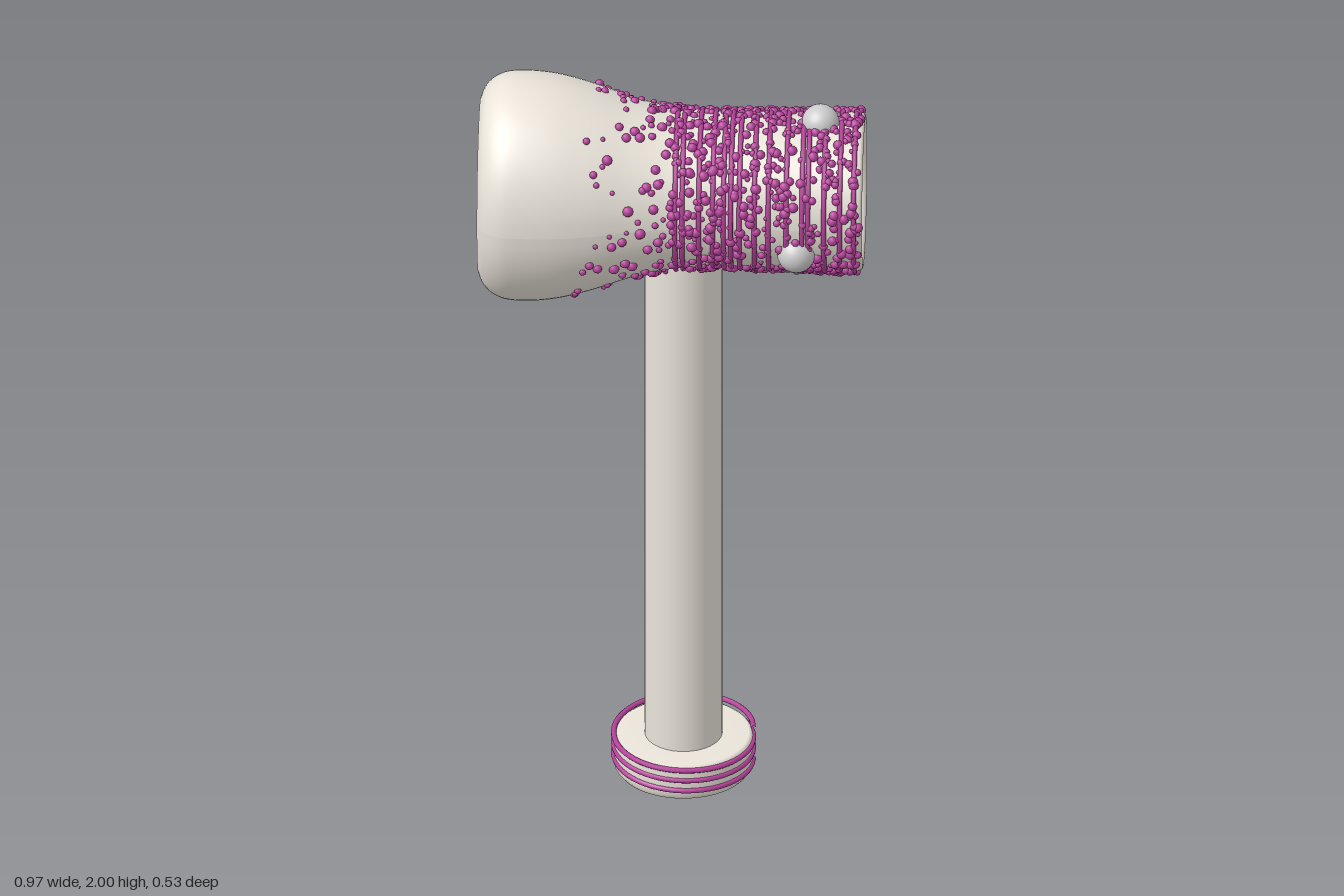
import * as THREE from 'three';
import { mergeGeometries } from 'three/addons/utils/BufferGeometryUtils.js';

const CY = 1.7;      // height of the head's axis
const STEM_X = 0.025; // the stem stands slightly off centre
const cream = new THREE.MeshStandardMaterial({ color: 0xeae4da });
const purple = new THREE.MeshStandardMaterial({ color: 0xb5429a });
const grey = new THREE.MeshStandardMaterial({ color: 0xcccccc });

const v2 = (list) => list.map(([r, h]) => new THREE.Vector2(r, h));

// Outside of the head as [radius, x]
const outer = new THREE.SplineCurve(v2([
  [0.2, -0.489], [0.228, -0.475], [0.251, -0.445], [0.262, -0.4], [0.261, -0.3], [0.246, -0.2],
  [0.222, -0.1], [0.204, 0], [0.198, 0.1], [0.198, 0.2], [0.199, 0.3], [0.202, 0.4], [0.203, 0.46],
])).getPoints(72);

// Head radius at x
function radiusAt(x) {
  const i = Math.max(1, outer.findIndex((p) => p.y >= x));
  if (x >= outer[outer.length - 1].y) return outer[outer.length - 1].x;
  const a = outer[i - 1], b = outer[i];
  return THREE.MathUtils.lerp(a.x, b.x, (x - a.y) / (b.y - a.y));
}
// The wide end is taller than it is deep
const tall = (x) => 1 + 0.145 * (1 - THREE.MathUtils.smoothstep(x, -0.4, 0.02));

function surfacePoint(x, angle, lift = 0) {
  const r = radiusAt(x) + lift;
  return new THREE.Vector3(x, CY + r * tall(x) * Math.sin(angle), r * Math.cos(angle));
}

function seeded(seed) {
  return () => {
    seed = (seed * 1664525 + 1013904223) % 4294967296;
    return seed / 4294967296;
  };
}

export function createModel() {
  const group = new THREE.Group();
  const add = (name, geometry, material) => {
    const mesh = new THREE.Mesh(geometry, material);
    mesh.name = name;
    group.add(mesh);
    return mesh;
  };

  // Head shell with rolled rim and funnel-shaped bowl
  const bowl = new THREE.SplineCurve(v2([
    [0.203, 0.46], [0.199, 0.475], [0.188, 0.481], [0.175, 0.474], [0.166, 0.45],
    [0.158, 0.38], [0.14, 0.28], [0.11, 0.2], [0.07, 0.155], [0.025, 0.14],
  ])).getPoints(48);
  const profile = [
    ...v2([[0, -0.489], [0.1, -0.489], [0.197, -0.489]]),
    ...outer, ...bowl.slice(1), ...v2([[0.018, 0.1], [0, 0.1]]),
  ];
  const head = new THREE.LatheGeometry(profile, 64);
  head.rotateZ(-Math.PI / 2);
  const pos = head.attributes.position;
  for (let i = 0; i < pos.count; i++) pos.setY(i, CY + pos.getY(i) * tall(pos.getX(i)));
  head.computeVertexNormals();
  add('head', head, cream);

  // Draw hole lip and two small studs on the bowl floor
  const lip = add('bowlHoleLip', new THREE.TorusGeometry(0.024, 0.007, 8, 24), cream);
  lip.rotation.y = Math.PI / 2;
  lip.position.set(0.145, CY, 0);
  for (const s of [-1, 1]) {
    add('bowlStud', new THREE.SphereGeometry(0.022, 16, 10), cream).position.set(0.15, CY, s * 0.055);
  }

  // Thin bands around the narrow half of the head
  const bandXs = [0.01, 0.028, 0.07, 0.105, 0.132, 0.15, 0.172, 0.21, 0.245, 0.29, 0.33, 0.345, 0.385, 0.425, 0.46];
  add('headBands', mergeGeometries(bandXs.map((x) => {
    const band = new THREE.TorusGeometry(radiusAt(x) + 0.002, 0.007, 6, 64);
    band.rotateY(Math.PI / 2);
    return band.scale(1, tall(x), 1).translate(x, CY, 0);
  })), purple);

  // Beads: scattered over the shoulder, crowded towards the rim
  const rand = seeded(7);
  const beads = [];
  while (beads.length < 1300) {
    const x = -0.28 + 0.752 * rand();
    const angle = rand() * Math.PI * 2;
    const size = 0.006 + 0.008 * rand();
    if (rand() > Math.min(1, (x + 0.29) / 0.34) ** 1.4) continue;
    const p = surfacePoint(x, angle, 0.001);
    beads.push(new THREE.IcosahedronGeometry(size, 1).translate(p.x, p.y, p.z));
  }
  add('beads', mergeGeometries(beads), purple);

  // Large studs on the head
  const studs = [[0.37, 1.9, 0], [0.315, 1.62, 0.178], [0.25, 1.765, -0.185], [0.37, 1.59, -0.17]];
  for (const p of studs) add('stud', new THREE.SphereGeometry(0.048, 24, 16), grey).position.set(...p);

  // Air-hole boss at the back
  const boss = add('airHoleBoss', new THREE.LatheGeometry(v2([
    [0.058, -0.02], [0.06, 0], [0.058, 0.015], [0.052, 0.032], [0.042, 0.046], [0.036, 0.05],
    [0.026, 0.05], [0.022, 0.045], [0.021, 0], [0, 0],
  ]), 32), cream);
  boss.rotation.x = -Math.PI / 2;
  boss.position.set(0.282, CY, -0.199);

  // Stem
  add('stem', new THREE.CylinderGeometry(0.098, 0.098, 1.45, 48, 1, true).translate(STEM_X, 0.805, 0), cream);

  // Foot with a dished underside and central bore
  add('foot', new THREE.LatheGeometry(v2([
    [0, 0.4], [0.045, 0.4], [0.045, 0.03], [0.055, 0.018], [0.075, 0.022], [0.11, 0.014], [0.145, 0.003],
    [0.157, 0], [0.168, 0.004], [0.175, 0.014], [0.176, 0.03], [0.176, 0.085], [0.173, 0.095],
    [0.165, 0.1], [0.09, 0.1],
  ]), 56).translate(STEM_X, 0, 0), cream);

  // Cord wound around the foot
  const cordPoints = [];
  for (let i = 0; i <= 72; i++) {
    const t = i / 72, a = t * Math.PI * 6;
    cordPoints.push(new THREE.Vector3(STEM_X + 0.176 * Math.cos(a), 0.025 + 0.088 * t, 0.176 * Math.sin(a)));
  }
  add('footCord', new THREE.TubeGeometry(new THREE.CatmullRomCurve3(cordPoints), 180, 0.007, 8), purple);

  return group;
}
